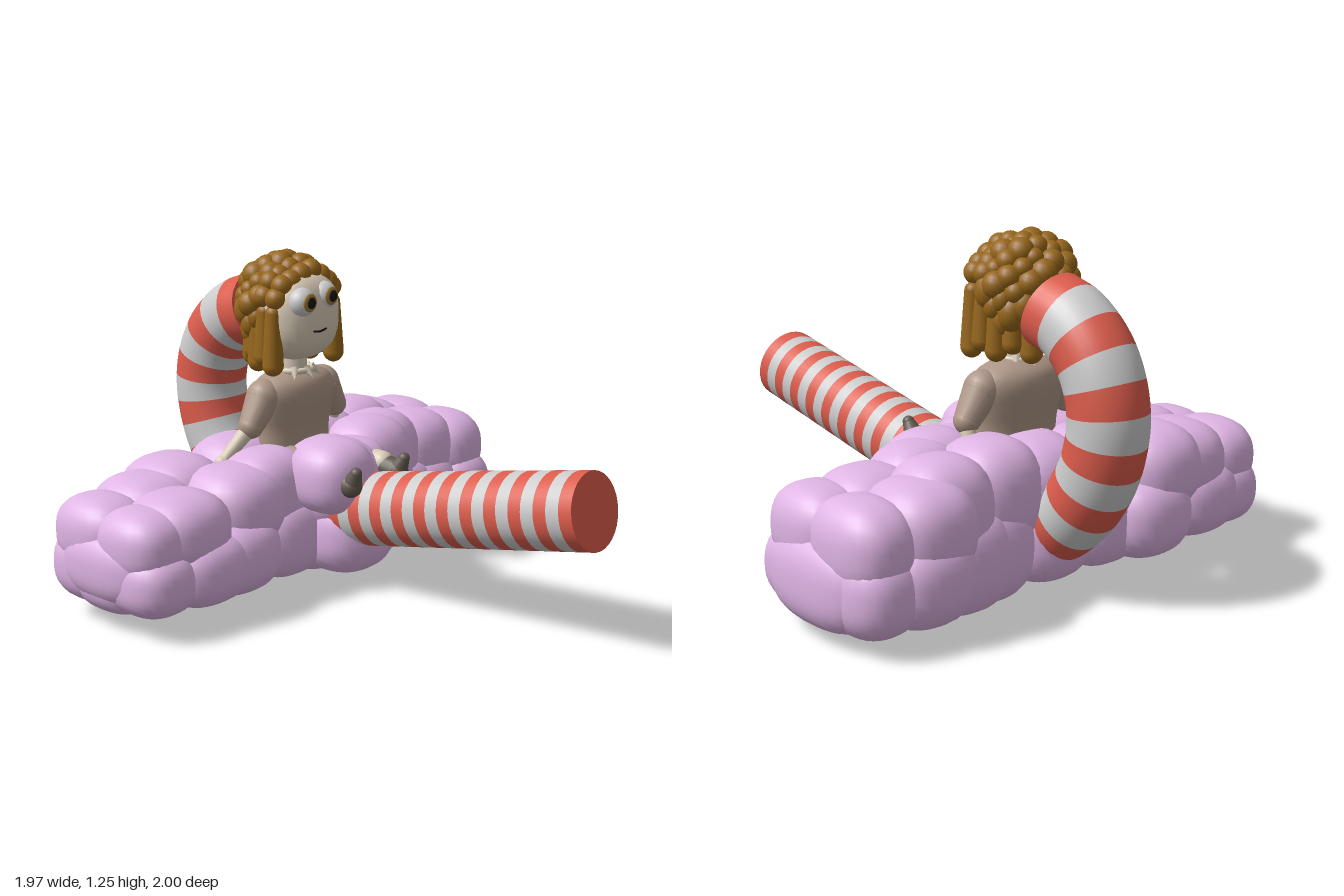
import * as THREE from 'three';
import { mergeGeometries } from 'three/addons/utils/BufferGeometryUtils.js';

const V = (x, y, z) => new THREE.Vector3(x, y, z);
const mat = (color) => new THREE.MeshStandardMaterial({ color });
const M = {
  cloud: mat(0xdfb5e4), red: mat(0xdc5c4c), white: mat(0xcccccc), hair: mat(0x96661a), skin: mat(0xdaccb8),
  shirt: mat(0xad9686), boot: mat(0x645a50), iris: mat(0x9c7a35), dark: mat(0x1a1512),
};

// Ellipsoid from centre and radii
function blob(x, y, z, rx, ry = rx, rz = rx, seg = 16) {
  return new THREE.SphereGeometry(1, seg, Math.round(seg * 0.7)).scale(rx, ry, rz).translate(x, y, z);
}

// Ellipsoid swollen towards its corners
function puff(x, y, z, rx, ry, rz) {
  const geo = new THREE.SphereGeometry(1, 28, 20), pos = geo.attributes.position, nor = geo.attributes.normal;
  const p = 2.5, n = V(0, 0, 0);
  for (let i = 0; i < pos.count; i++) {
    const v = V(0, 0, 0).fromBufferAttribute(pos, i);
    const k = [v.x, v.y, v.z].reduce((sum, c) => sum + Math.abs(c) ** p, 0) ** (-1 / p);
    v.multiplyScalar(k);
    pos.setXYZ(i, v.x * rx + x, v.y * ry + y, v.z * rz + z);
    const slope = (c, r) => (Math.sign(c) * Math.abs(c) ** (p - 1)) / r;
    n.set(slope(v.x, rx), slope(v.y, ry), slope(v.z, rz)).normalize();
    nor.setXYZ(i, n.x, n.y, n.z);
  }
  return geo;
}

// Tapered round limb between two points
function limb(a, b, ra, rb) {
  const d = b.clone().sub(a), q = new THREE.Quaternion().setFromUnitVectors(V(0, 1, 0), d.clone().normalize());
  const c = a.clone().add(b).multiplyScalar(0.5);
  return mergeGeometries([
    new THREE.CylinderGeometry(rb, ra, d.length(), 16).applyQuaternion(q).translate(c.x, c.y, c.z),
    blob(a.x, a.y, a.z, ra), blob(b.x, b.y, b.z, rb),
  ]);
}

// Section of a longer curve
class Section extends THREE.Curve {
  constructor(curve, t0, t1) { super(); Object.assign(this, { curve, t0, t1 }); }
  getPoint(t, target = V(0, 0, 0)) {
    return this.curve.getPointAt(this.t0 + (this.t1 - this.t0) * t, target);
  }
}

export function createModel() {
  const root = new THREE.Group();
  const add = (name, geos, material, parent = root) => {
    const mesh = new THREE.Mesh(Array.isArray(geos) ? mergeGeometries(geos) : geos, material);
    mesh.name = name;
    parent.add(mesh);
    return mesh;
  };
  const group = (name) => {
    const g = new THREE.Group();
    g.name = name;
    root.add(g);
    return g;
  };

  // Striped cane: straight pole in front, hook behind
  const cane = group('stripedCane'), R = 0.139;
  function striped(name, curve, count, segs) {
    const sets = [[], []];
    for (let i = 0; i < count; i++)
      sets[i % 2].push(new THREE.TubeGeometry(new Section(curve, i / count, (i + 1) / count), segs, R, 32));
    const p = curve.getPointAt(0), t = curve.getTangentAt(0).negate();
    const q = new THREE.Quaternion().setFromUnitVectors(V(0, 0, 1), t);
    sets[0].push(new THREE.CircleGeometry(R, 32).applyQuaternion(q).translate(p.x, p.y, p.z));
    add(name + 'RedStripes', sets[0], M.red, cane);
    add(name + 'WhiteStripes', sets[1], M.white, cane);
  }
  striped('pole', new THREE.LineCurve3(V(0.032, 0.527, 0.973), V(0.015, 0.25, -0.42)), 27, 1);
  striped('hook', new THREE.CatmullRomCurve3([
    V(0.02, 1.02, -0.585), V(0.02, 0.98, -0.7), V(0.02, 0.87, -0.81), V(0.02, 0.7, -0.861),
    V(0.02, 0.5, -0.82), V(0.02, 0.34, -0.71), V(0.02, 0.25, -0.58), V(0.02, 0.25, -0.45),
  ]), 13, 4);

  // Cloud: puffs filling each station of x, bottom, top, front z, back z
  const stations = [
    [-0.83, 0.07, 0.48, -0.13, -0.74], [-0.65, 0.06, 0.51, -0.1, -0.76], [-0.42, 0.05, 0.54, -0.11, -0.8],
    [-0.2, 0.04, 0.57, -0.14, -0.72], [0.03, 0.03, 0.58, 0.02, -0.72], [0.27, 0.02, 0.6, -0.08, -0.71],
    [0.45, 0.02, 0.59, -0.15, -0.73], [0.62, 0.05, 0.55, -0.14, -0.8], [0.81, 0.05, 0.52, -0.11, -0.77],
  ];
  const puffs = [
    puff(-0.88, 0.25, -0.44, 0.11, 0.13, 0.22), // right tip
    puff(0.86, 0.22, -0.43, 0.12, 0.16, 0.26), // left tip
    puff(-0.07, 0.46, -0.13, 0.15, 0.14, 0.15), // right lap
    puff(0.13, 0.42, -0.21, 0.13, 0.13, 0.14), // left lap
  ];
  stations.forEach(([x, bottom, top, front, back], i) => {
    const h = top - bottom, d = front - back, end = i % 8 === 0;
    const rx = end ? 0.14 : 0.18, wob = end ? 0 : 0.035 * Math.sin(i * 2.3);
    puffs.push(
      puff(x + wob, bottom + 0.35 * h, front - 0.26 * d, rx, 0.3 * h, 0.26 * d), // low front
      puff(x - wob, bottom + 0.36 * h, back + 0.27 * d, rx, 0.33 * h, 0.27 * d), // low back
      puff(x - wob, top - 0.34 * h, front - 0.33 * d, rx, 0.32 * h, 0.27 * d), // high front
      puff(x + wob, top - 0.34 * h, back + 0.32 * d, rx, 0.34 * h, 0.29 * d), // high back
      puff(x, bottom + 0.3 * h, back + 0.48 * d, rx, 0.3 * h, 0.3 * d), // underside
    );
  });
  add('cloud', puffs, M.cloud);

  // Torso
  const body = group('seatedFigure');
  const profile = [[0.15, 0.45], [0.15, 0.58], [0.165, 0.66], [0.175, 0.73], [0.155, 0.78], [0.1, 0.81], [0.05, 0.825]];
  const outline = new THREE.SplineCurve(profile.map(([r, y]) => new THREE.Vector2(r, y)));
  add('shirt', new THREE.LatheGeometry(outline.getPoints(20), 32).scale(1.1, 1, 0.66).translate(0.01, 0, -0.4),
    M.shirt, body).material.side = THREE.DoubleSide;

  // Sleeves, arms, legs, cuffs and boots with upturned toes
  for (const s of [-1, 1]) {
    const side = s > 0 ? 'left' : 'right', x = 0.01;
    const elbow = V(x + s * 0.23, 0.63, -0.4), hand = V(x + s * (s > 0 ? 0.25 : 0.33), 0.505, -0.45);
    add(side + 'Sleeve', limb(V(x + s * 0.16, 0.73, -0.4), elbow, 0.068, 0.048), M.shirt, body);
    add(side + 'Forearm', [limb(elbow, hand, 0.032, 0.022), blob(hand.x, hand.y, hand.z, 0.035, 0.025, 0.03)], M.skin, body);
    const knee = V(s * 0.1, 0.48, -0.2), ankle = V(x + s * 0.125, 0.475, -0.06), heel = V(x + s * 0.13, 0.455, 0.01);
    add(side + 'Leg', [limb(V(s * 0.08, 0.5, -0.38), knee, 0.05, 0.045), limb(knee, ankle, 0.045, 0.044)], M.shirt, body);
    add(side + 'Cuff', limb(V(x + s * 0.123, 0.475, -0.085), ankle, 0.048, 0.046), M.skin, body);
    add(side + 'Boot', [
      limb(V(x + s * 0.127, 0.465, -0.05), heel, 0.046, 0.043),
      limb(heel, V(x + s * 0.135, 0.51, 0.04), 0.042, 0.022),
    ], M.boot, body);
  }

  // Neck and pointed collar
  add('neck', new THREE.CylinderGeometry(0.05, 0.055, 0.12, 20).translate(0, 0.85, -0.39), M.skin, body);
  const collar = [new THREE.TorusGeometry(0.068, 0.012, 8, 28).rotateX(Math.PI / 2).translate(0, 0.818, -0.385)];
  for (let i = 0; i < 8; i++)
    collar.push(new THREE.ConeGeometry(0.02, 0.05, 8).rotateX(Math.PI - 0.9).translate(0, 0.808, 0.08)
      .rotateY((i / 8) * Math.PI * 2).translate(0, 0, -0.385));
  add('collar', collar, M.skin, body);

  // Head and face
  const head = group('head');
  add('face', puff(-0.02, 1.035, -0.36, 0.163, 0.17, 0.148), M.skin, head);
  for (const [side, x, y] of [['right', -0.096, 1.1], ['left', 0.02, 1.11]]) {
    add(side + 'Eye', blob(x, y, -0.25, 0.055, 0.055, 0.05, 24), M.white, head);
    add(side + 'Iris', blob(x - 0.002, y + 0.004, -0.206, 0.034, 0.034, 0.01, 20), M.iris, head);
    add(side + 'Pupil', blob(x - 0.002, y + 0.004, -0.199, 0.022, 0.022, 0.007), M.dark, head);
  }
  const smile = new THREE.CatmullRomCurve3([V(-0.075, 0.994, -0.215), V(-0.04, 0.989, -0.212), V(-0.005, 0.995, -0.213)]);
  add('mouth', new THREE.TubeGeometry(smile, 12, 0.004, 6), M.dark, head);

  // Curly hair: core with curls spread over the skull
  const hair = [blob(-0.01, 1.07, -0.43, 0.16, 0.165, 0.125, 24)], curls = 84;
  for (let i = 0; i < curls; i++) {
    const y = 1 - (2 * (i + 0.5)) / curls, r = Math.sqrt(1 - y * y), a = i * 2.39996;
    const x = r * Math.cos(a), z = r * Math.sin(a);
    if ((z > 0.35 && y < 0.6) || y < -0.92) continue;
    const k = 0.042 + 0.008 * Math.sin(i * 1.7);
    hair.push(blob(-0.01 + x * 0.16, 1.07 + y * 0.155, -0.43 + z * 0.125, k, y < 0 ? k * 1.3 : k, k));
  }
  // Fringe rows over the forehead
  for (let row = 0; row < 2; row++)
    for (let i = 0; i < 8; i++) {
      const a = -1.25 + (i / 7) * 2.5, spread = 0.155 + 0.005 * row;
      hair.push(blob(-0.012 + spread * Math.sin(a), 1.075 + 0.008 * Math.sin(i * 2) + (0.12 + 0.015 * row) * Math.cos(a),
        -0.325 - 0.055 * row + 0.015 * Math.cos(a), 0.042));
    }
  // Hanging locks, thicker and uneven at the tips
  for (const s of [-1, 1])
    for (let i = 0; i < 5; i++) {
      const z = -0.325 - i * 0.05, x = -0.01 + s * (0.165 - i * i * 0.006);
      hair.push(limb(V(x * 0.97, 1.06, z), V(x, 0.865 + 0.03 * (i % 2), z), 0.03, 0.04));
    }
  add('curlyHair', hair, M.hair, head);

  return root;
}
